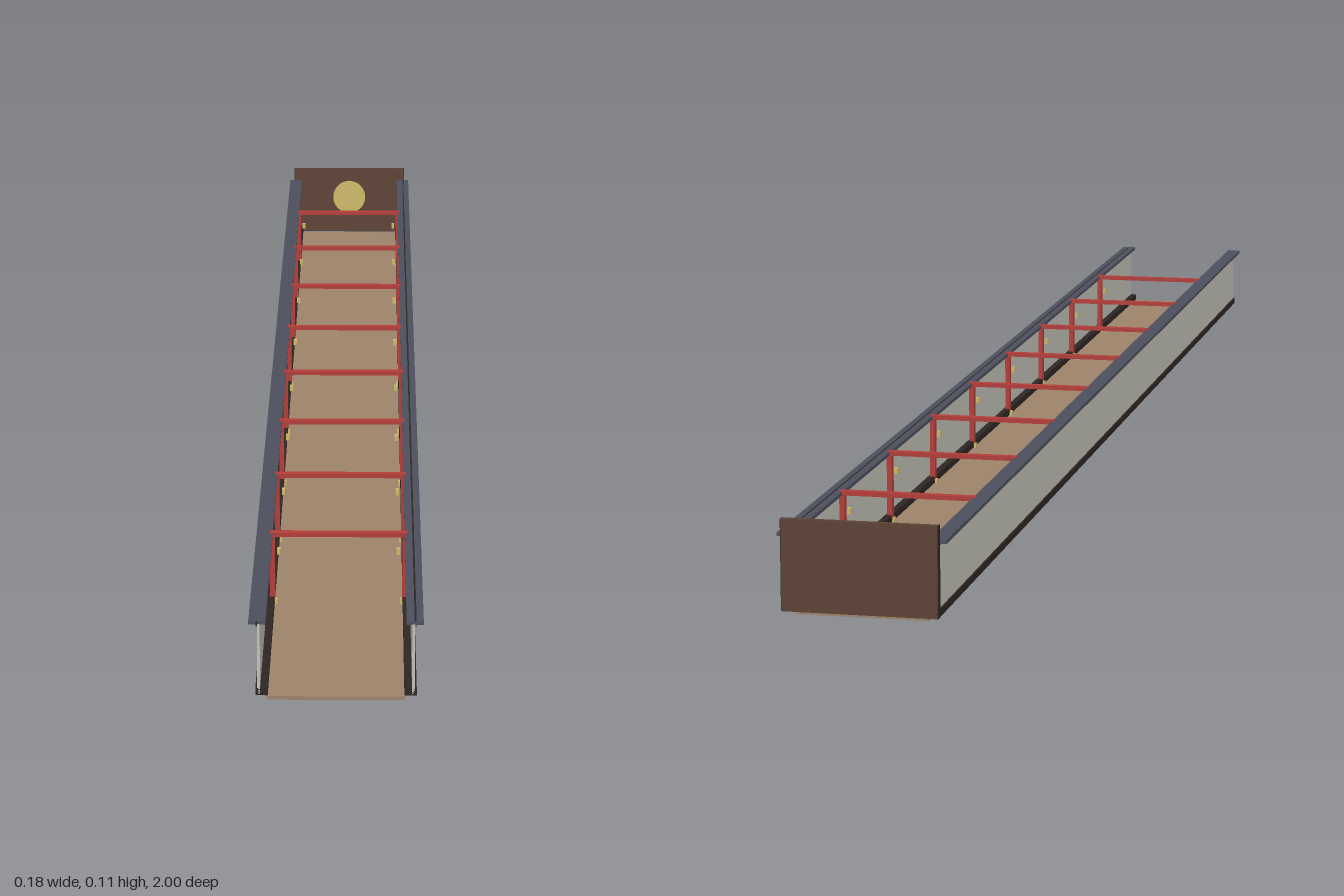
import * as THREE from 'three';

const mat = (name, color) => {
  const m = new THREE.MeshStandardMaterial({ color });
  m.name = name;
  return m;
};

export function createModel() {
  const root = new THREE.Group();
  root.name = 'corridor';
  const tan = mat('tan floor', 0x9c836a);
  const grey = mat('warm grey wall', 0xc2c0b6);
  const slate = mat('slate rail', 0x4c505c);
  const dark = mat('dark trim', 0x2e2624);
  const brown = mat('brown end wall', 0x5c4134);
  const red = mat('red frame', 0xb23c38);
  const gold = mat('gold fitting', 0xcdb868);

  const box = (name, m, w, h, d, x, y, z, parent = root) => {
    const mesh = new THREE.Mesh(new THREE.BoxGeometry(w, h, d), m);
    mesh.name = name;
    mesh.position.set(x, y, z);
    parent.add(mesh);
    return mesh;
  };

  box('floor', tan, 0.146, 0.004, 1.99, 0, 0.002, 0.005);

  // Side walls with top rails and skirting
  for (const s of [-1, 1]) {
    box('sideWall', grey, 0.003, 0.078, 1.985, s * 0.0815, 0.046, 0.0075);
    box('topRail', slate, 0.018, 0.004, 1.99, s * 0.083, 0.086, 0.005);
    box('railLip', dark, 0.002, 0.006, 1.99, s * 0.0835, 0.085, 0.005);
    box('skirting', dark, 0.013, 0.008, 1.99, s * 0.0785, 0.009, 0.005);
  }

  // Closed end with its round disc
  box('endWall', brown, 0.17, 0.1, 0.008, 0, 0.055, -0.996);
  for (const s of [-1, 1]) box('endEdge', dark, 0.001, 0.1, 0.009, s * 0.085, 0.055, -0.9955);
  const disc = new THREE.Mesh(new THREE.CylinderGeometry(0.025, 0.025, 0.004, 32), gold);
  disc.name = 'endDisc';
  disc.rotation.x = Math.PI / 2;
  disc.position.set(0, 0.061, -0.990);
  root.add(disc);

  // Eight portal frames with small fittings
  for (let i = 0; i < 8; i++) {
    const frame = new THREE.Group();
    frame.name = 'portalFrame';
    frame.position.z = -0.784 + i * 0.2138;
    box('crossBeam', red, 0.154, 0.005, 0.009, 0, 0.0865, 0, frame);
    for (const s of [-1, 1]) {
      box('post', red, 0.006, 0.078, 0.009, s * 0.0745, 0.046, 0, frame);
      box('lamp', gold, 0.004, 0.007, 0.006, s * 0.067, 0.066, 0, frame);
      box('foot', gold, 0.006, 0.006, 0.006, s * 0.072, 0.007, 0, frame);
    }
    root.add(frame);
  }
  return root;
}
